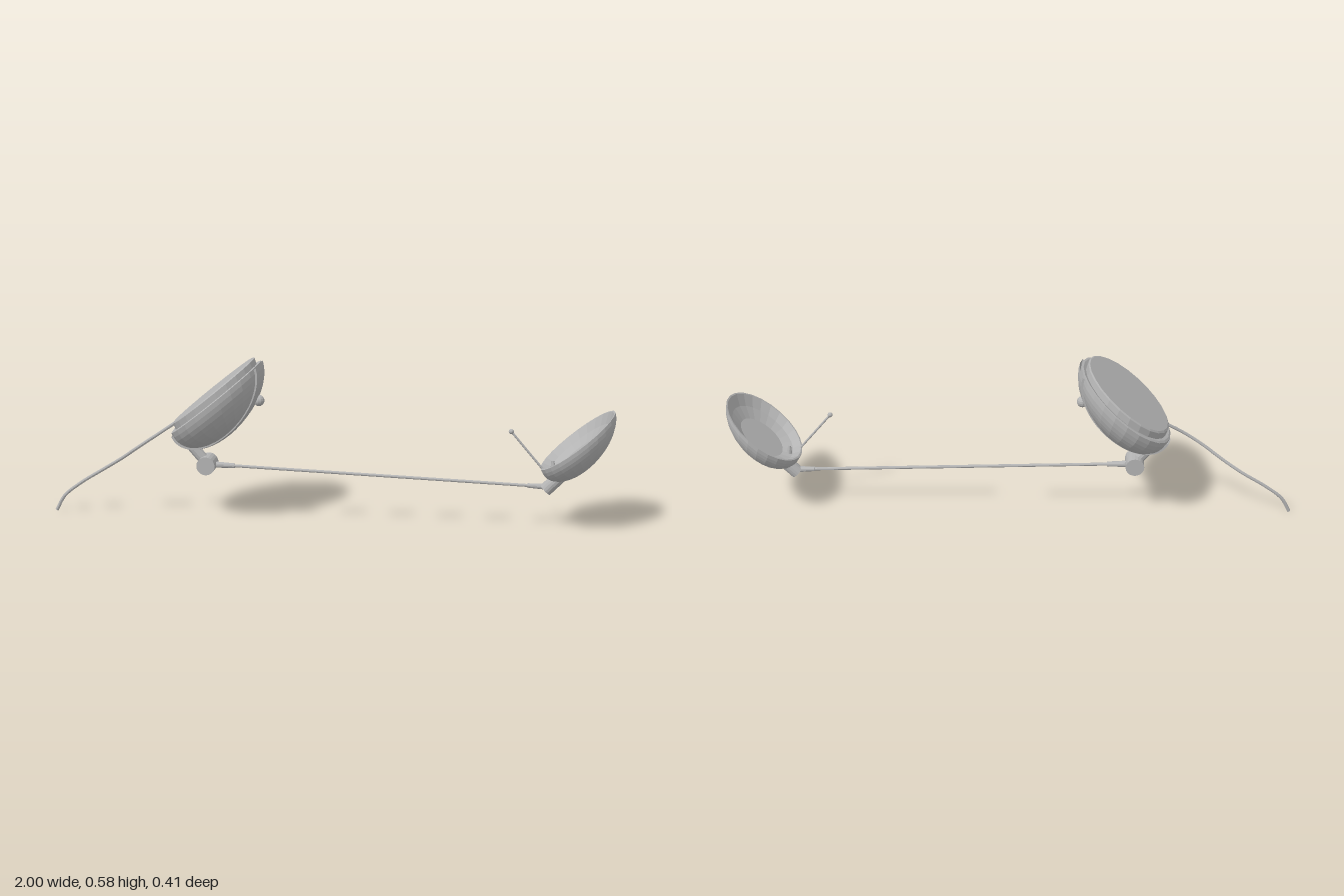
import * as THREE from 'three';

export function createModel() {
  const model = new THREE.Group();
  model.name = 'lamp';
  const grey = new THREE.MeshStandardMaterial({ color: 0xb4b4b4, flatShading: true, side: THREE.DoubleSide });
  grey.name = 'grey';

  const V = (x, y, z = 0) => new THREE.Vector3(x, y, z);
  const add = (name, geometry, position) => {
    const mesh = new THREE.Mesh(geometry, grey);
    mesh.name = name;
    if (position) mesh.position.copy(position);
    model.add(mesh);
    return mesh;
  };

  // Round bar between two points
  const bar = (name, a, b, r0, r1 = r0, sides = 12) => {
    const dir = b.clone().sub(a);
    const mesh = add(name, new THREE.CylinderGeometry(r1, r0, dir.length(), sides), a.clone().lerp(b, 0.5));
    mesh.quaternion.setFromUnitVectors(V(0, 1, 0), dir.normalize());
    return mesh;
  };

  // Frame of a tilted bowl: x runs along the rim, y = -1 is the bottom of the bowl
  const bowlFrame = (center, depthX, depthY) =>
    new THREE.Matrix4().makeBasis(V(0.777, 0.63), V(-depthX, depthY), V(0, 0, 1)).setPosition(center);

  const bowl = (name, radius, inside, frame) => {
    const points = [];
    for (let i = 0; i <= 12; i++) {
      const a = (i / 12) * Math.PI / 2;
      points.push(new THREE.Vector2(radius * Math.sin(a), -Math.cos(a)));
    }
    inside.forEach(([r, y]) => points.push(new THREE.Vector2(r, y)));
    return add(name, new THREE.LatheGeometry(points, 24).applyMatrix4(frame));
  };

  // Large weighted base with a raised flat face
  const R = 0.204;
  const baseFrame = bowlFrame(V(-0.402, 0.442), 0.046, 0.132);
  bowl('base', R, [[0.196, 0.02], [0.184, 0], [0.184, 0.17], [0.178, 0.2], [0, 0.2]], baseFrame);

  // Raised band wrapped around the middle of the base
  const rows = [[-0.073, 0.98], [-0.073, 1.035], [-0.025, 1.035], [0.025, 1.035], [0.073, 1.035], [0.073, 0.98]];
  const band = new THREE.PlaneGeometry(1, 1, 24, rows.length - 1);
  const pos = band.attributes.position;
  for (let i = 0; i < pos.count; i++) {
    const [z, scale] = rows[Math.floor(i / 25)];
    const angle = ((i % 25) / 24) * Math.PI * 0.96 + 0.03;
    const r = Math.sqrt(R * R - z * z) * scale;
    pos.setXYZ(i, r * Math.cos(angle), -(r / R) * Math.sin(angle), z);
  }
  band.applyMatrix4(baseFrame);
  band.computeVertexNormals();
  add('baseBand', band);
  add('knob', new THREE.SphereGeometry(0.02, 12, 8), V(-0.249, 0.433));

  // Hinge under the base
  bar('hingeDrum', V(-0.438, 0.195, -0.043), V(-0.438, 0.195, 0.033), 0.033, 0.033, 20);
  bar('hingeStrut', V(-0.445, 0.205, -0.004), V(-0.535, 0.31, -0.004), 0.02);

  // Long arm with a sleeve at each end
  const armStart = V(-0.43, 0.193, -0.01), armEnd = V(0.765, 0.15, -0.01);
  const along = t => armStart.clone().lerp(armEnd, t);
  bar('arm', armStart, armEnd, 0.0055);
  bar('innerSleeve', along(0), along(0.075), 0.012, 0.009);
  bar('outerSleeve', along(0.945), along(1), 0.008, 0.011);

  // Small dished shade with a flat disc inside
  bowl('shade', 0.163, [[0.157, 0], [0.13, -0.25], [0.09, -0.42], [0, -0.42]],
    bowlFrame(V(0.869, 0.321, -0.008), 0.03, 0.104));
  bar('shadeJoint', V(0.762, 0.138, -0.01), V(0.82, 0.197, -0.01), 0.024, 0.024, 16);
  bar('shadePeg', V(0.79, 0.19, -0.008), V(0.785, 0.245, -0.008), 0.014, 0.005);

  // Thin handle with a ball tip
  const tip = V(0.64, 0.353, 0.025);
  bar('handle', V(0.765, 0.205, 0.02), tip, 0.004, 0.004, 8);
  add('handleBall', new THREE.SphereGeometry(0.009, 10, 8), tip);

  // Power cord
  const cordPath = new THREE.CatmullRomCurve3([
    V(-0.55, 0.345, 0.005), V(-0.61, 0.305, 0.018), V(-0.676, 0.26, 0.017), V(-0.75, 0.207, 0.003),
    V(-0.82, 0.162, -0.01), V(-0.9, 0.112, -0.01), V(-0.965, 0.06, -0.008), V(-0.995, 0.006, -0.006)]);
  add('cord', new THREE.TubeGeometry(cordPath, 36, 0.006, 8));

  return model;
}
